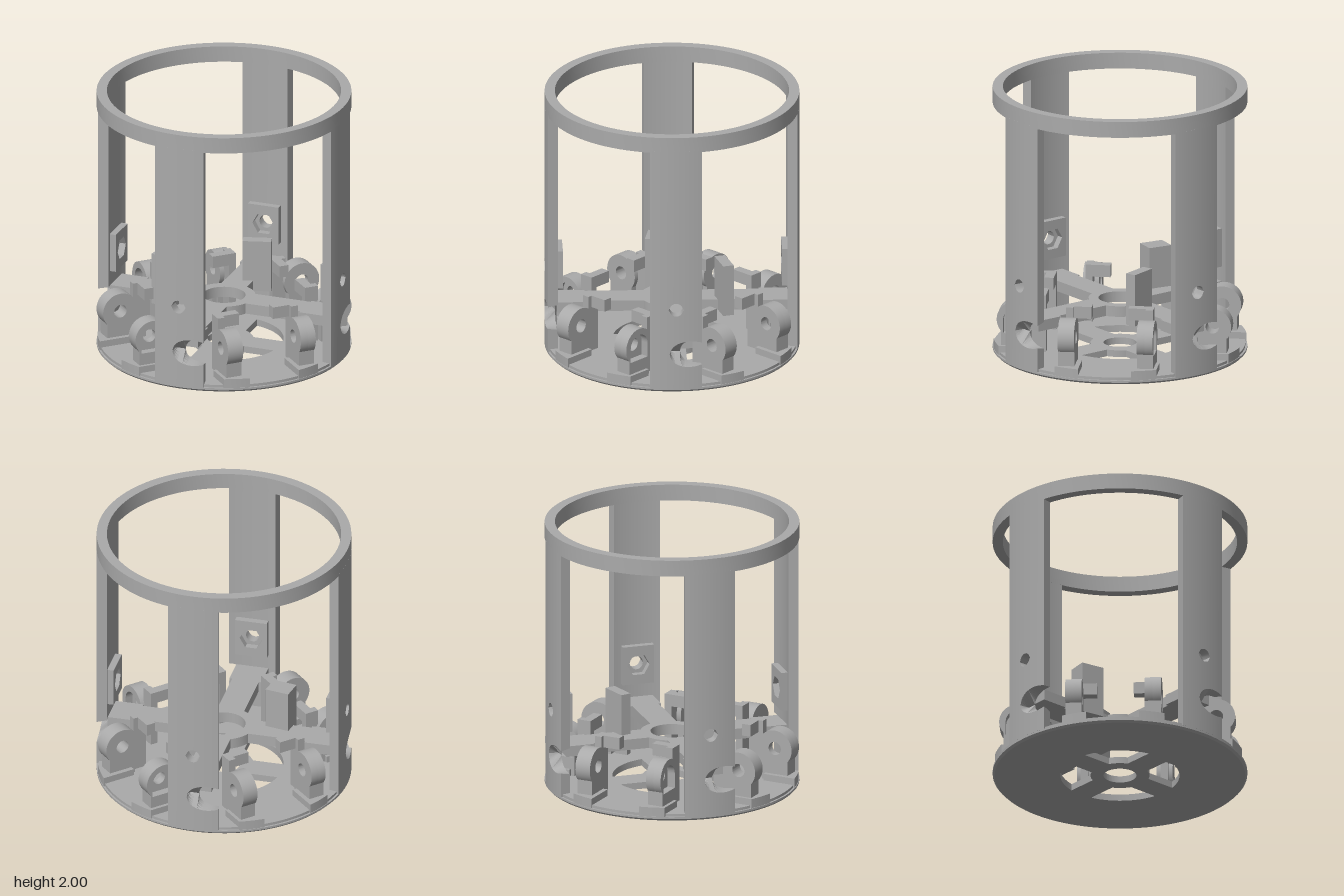
import * as THREE from 'three';
import { toCreasedNormals } from 'three/addons/utils/BufferGeometryUtils.js';

const R = 0.93, RI = 0.855; // outer and inner radius of the frame
const grey = new THREE.MeshStandardMaterial({ color: 0xaaaaaa });
grey.name = 'plain grey';

function add(parent, name, geometry) {
  const mesh = new THREE.Mesh(geometry, grey);
  mesh.name = name;
  parent.add(mesh);
  return mesh;
}

// box given by its limits on each axis
function box(x0, x1, y0, y1, z0, z1) {
  return new THREE.BoxGeometry(x1 - x0, y1 - y0, z1 - z0)
    .translate((x0 + x1) / 2, (y0 + y1) / 2, (z0 + z1) / 2);
}

// solid of revolution from a closed [radius, height] profile, running anticlockwise
function turned(points) {
  const pts = [...points, points[0]].map(([r, y]) => new THREE.Vector2(r, y));
  return toCreasedNormals(new THREE.LatheGeometry(pts, 96), 0.5);
}

function tube(inner, outer, y0, y1) {
  return turned([[inner, y0], [outer, y0], [outer, y1], [inner, y1]]);
}

function extrude(shape, depth) {
  const g = new THREE.ExtrudeGeometry(shape, { depth, bevelEnabled: false, curveSegments: 24 });
  return toCreasedNormals(g, 0.5);
}

// curved post between ring and base, with a shaft hole along z and a radial bolt hole
function postGeometry() {
  const steps = 48, half = 0.206, pos = [];
  const section = (i) => {
    const a = Math.PI / 4 - half + (2 * half * i) / steps;
    return [R, RI].map((r) => {
      const x = r * Math.sin(a), z = r * Math.cos(a);
      const shaft = Math.sqrt(Math.max(0, 0.01 - (x - 0.725) ** 2));
      const bolt = Math.sqrt(Math.max(0, 0.0025 - (r * (a - Math.PI / 4)) ** 2));
      return [0.03, 0.295 - shaft, 0.295 + shaft, 0.645 - bolt, 0.645 + bolt, 1.89]
        .map((y) => [x, y, z]);
    });
  };
  const quad = (a, b, c, d) => pos.push(...a, ...b, ...c, ...a, ...c, ...d);
  for (let i = 0; i < steps; i++) {
    const [so, si] = section(i), [to, ti] = section(i + 1);
    for (let k = 0; k < 6; k++) {
      if (k % 2) {
        quad(so[k], to[k], ti[k], si[k]);
        continue;
      }
      quad(si[k], ti[k], to[k], so[k]);
      quad(so[k], to[k], to[k + 1], so[k + 1]);
      quad(si[k + 1], ti[k + 1], ti[k], si[k]);
      if (i === 0) quad(si[k], so[k], so[k + 1], si[k + 1]);
      if (i === steps - 1) quad(ti[k + 1], to[k + 1], to[k], ti[k]);
    }
  }
  const g = new THREE.BufferGeometry();
  g.setAttribute('position', new THREE.Float32BufferAttribute(pos, 3));
  return toCreasedNormals(g, 0.5);
}

// round-headed bearing profile in the z-y plane, extruded from x = right towards -x
function bearing(right, depth, pocket) {
  const s = new THREE.Shape();
  s.moveTo(0.62, 0.05);
  s.lineTo(0.83, 0.05);
  s.lineTo(0.83, 0.21);
  s.absarc(0.725, 0.295, 0.138, -0.68, Math.PI + 0.68, false);
  s.lineTo(0.62, 0.21);
  s.closePath();
  const h = new THREE.Path();
  if (pocket) {
    h.moveTo(0.635, 0.19);
    h.lineTo(0.815, 0.19);
    h.lineTo(0.815, 0.295);
    h.absarc(0.725, 0.295, 0.09, 0, Math.PI, false);
    h.closePath();
  } else {
    h.absarc(0.725, 0.295, 0.05, 0, Math.PI * 2, true);
  }
  s.holes.push(h);
  return extrude(s, depth).rotateY(-Math.PI / 2).translate(right, 0, 0);
}

// foot whose outer edge follows the rim of the base
function foot(side) {
  const s = new THREE.Shape();
  s.moveTo(side * 0.195, -0.65);
  for (let i = 0; i <= 6; i++) {
    const x = 0.195 + (0.18 * i) / 6;
    s.lineTo(side * x, -Math.sqrt(0.925 ** 2 - x * x));
  }
  s.lineTo(side * 0.375, -0.65);
  s.closePath();
  return extrude(s, 0.07).rotateX(-Math.PI / 2).translate(0, 0.03, 0);
}

// plate with a hexagonal nut pocket, fixed inside a post
function nutPlate() {
  const s = new THREE.Shape();
  s.moveTo(-0.12, 0.5);
  s.lineTo(0.12, 0.5);
  s.lineTo(0.12, 0.79);
  s.lineTo(-0.12, 0.79);
  s.closePath();
  const h = new THREE.Path();
  for (let i = 0; i < 6; i++) {
    const a = (i * Math.PI) / 3;
    h[i ? 'lineTo' : 'moveTo'](0.085 * Math.cos(a), 0.645 + 0.085 * Math.sin(a));
  }
  h.closePath();
  s.holes.push(h);
  return extrude(s, 0.05).translate(0, 0, 0.8);
}

export function createModel() {
  const model = new THREE.Group();
  model.name = 'roundFrame';

  // top ring, base plate and the two hubs
  add(model, 'topRing', tube(RI, R, 1.88, 2));
  add(model, 'basePlate', turned([[0.435, 0], [0.915, 0], [R, 0.015], [R, 0.03],
    [0.915, 0.03], [0.915, 0.05], [0.435, 0.05]]));
  add(model, 'lowerHub', tube(0.12, 0.215, 0, 0.05));
  add(model, 'upperHub', tube(0.157, 0.23, 0.31, 0.39));

  // one quarter, repeated around the axis
  const post = postGeometry(), plate = nutPlate();
  const plainBearing = bearing(-0.23, 0.12, false);
  const innerBearing = bearing(0.29, 0.06, false), pocketBearing = bearing(0.35, 0.06, true);
  for (let q = 0; q < 4; q++) {
    const quarter = new THREE.Group();
    quarter.name = 'quarter';
    quarter.rotation.y = (q * Math.PI) / 2;
    model.add(quarter);
    add(quarter, 'post', post);

    // spokes and nut plate on the diagonal
    const diagonal = new THREE.Group();
    diagonal.name = 'diagonalArm';
    diagonal.rotation.y = Math.PI / 4;
    quarter.add(diagonal);
    add(diagonal, 'lowerSpoke', box(-0.095, 0.095, 0, 0.05, 0.18, 0.45));
    add(diagonal, 'upperArm', box(-0.1, 0.1, 0.31, 0.39, 0.2, 0.65));
    add(diagonal, 'upperArmEnd', box(-0.12, 0.12, 0.31, 0.39, 0.636, 0.845));
    add(diagonal, 'nutPlate', plate);

    // pair of bearings, one plain and one with a pocket
    add(quarter, 'plainBearing', plainBearing);
    add(quarter, 'pocketBearingBack', innerBearing);
    add(quarter, 'pocketBearingFront', pocketBearing);
    for (const s of [-1, 1]) {
      const span = (a, b) => (s > 0 ? [a, b] : [-b, -a]);
      add(quarter, 'bearingFoot', foot(s));
      add(quarter, 'clipPillar', box(...span(0.265, 0.32), 0.05, 0.48, 0.505, 0.61));
      add(quarter, 'clipTab', box(...span(0.135, 0.32), 0.39, 0.48, 0.505, 0.575));
    }
  }

  // two upright blocks on the rear arms
  const blockA = add(model, 'rightBlock', new THREE.BoxGeometry(0.15, 0.39, 0.18));
  blockA.position.set(-0.356, 0.505, -0.217);
  blockA.rotation.y = 0.61;
  const blockB = add(model, 'leftBlock', new THREE.BoxGeometry(0.21, 0.39, 0.08));
  blockB.position.set(0.348, 0.505, -0.185);
  blockB.rotation.y = -0.507;

  return model;
}
